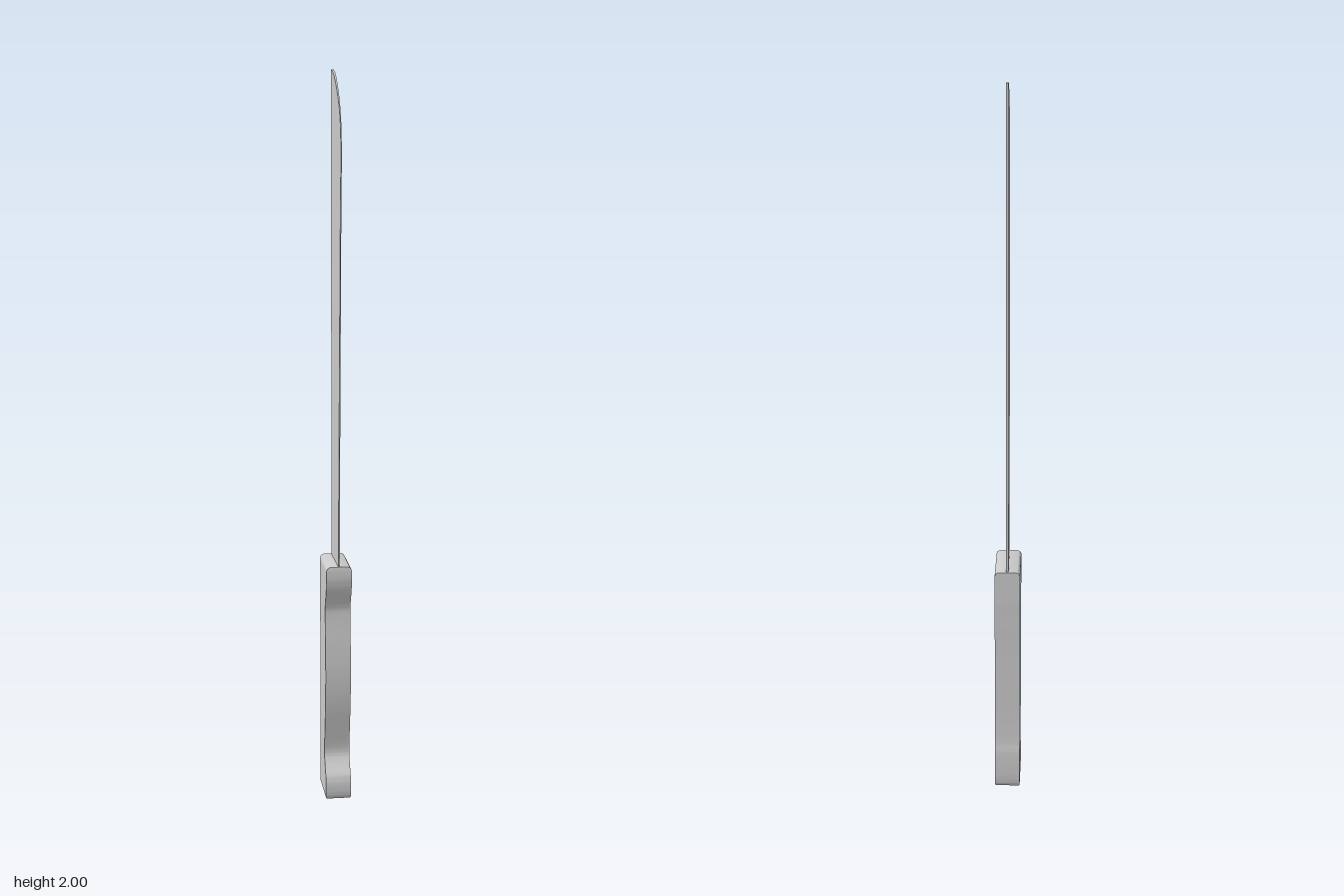
import * as THREE from 'three';
import { toCreasedNormals } from 'three/addons/utils/BufferGeometryUtils.js';

const material = new THREE.MeshStandardMaterial({ color: 0xcccccc });

// Lofts a box upward through rows of [y, back z, front z];
// halfWidth(y, z) gives half the thickness at each point.
function loft(name, rows, perSpan, halfWidth) {
  const curve = new THREE.CatmullRomCurve3(rows.map(([y, back, front]) => new THREE.Vector3(back, y, front)));
  const steps = (rows.length - 1) * perSpan;
  const geometry = new THREE.BoxGeometry(1, 1, 1, 1, steps, 1);
  const pos = geometry.attributes.position;
  const p = new THREE.Vector3();
  for (let i = 0; i < pos.count; i++) {
    curve.getPoint(Math.round((pos.getY(i) + 0.5) * steps) / steps, p);
    const z = pos.getZ(i) < 0 ? p.x : p.z;
    pos.setXYZ(i, Math.sign(pos.getX(i)) * halfWidth(p.y, z), p.y, z);
  }
  const mesh = new THREE.Mesh(toCreasedNormals(geometry, 0.6), material);
  mesh.name = name;
  return mesh;
}

export function createModel() {
  const group = new THREE.Group();
  group.name = 'machete';

  // Handle: finger-shaped front, nearly straight back, rounded ends
  const top = 0.672;
  const round = (d, r) => (d >= r ? 0 : r - Math.sqrt(Math.max(0, r * r - (r - d) ** 2)));
  group.add(loft('handle', [
    [0, -0.09, 0.038], [0.008, -0.094, 0.043], [0.03, -0.097, 0.045], [0.06, -0.098, 0.041],
    [0.09, -0.098, 0.022], [0.115, -0.097, 0.008], [0.135, -0.094, 0.006], [0.2, -0.092, 0.018],
    [0.28, -0.092, 0.033], [0.36, -0.093, 0.038], [0.44, -0.094, 0.034], [0.51, -0.096, 0.027],
    [0.55, -0.097, 0.026], [0.575, -0.098, 0.036], [0.605, -0.098, 0.051], [0.635, -0.098, 0.057],
    [0.655, -0.098, 0.057], [0.667, -0.098, 0.056], [top, -0.098, 0.055],
  ], 4, (y) => 0.035 - round(top - y, 0.013) - round(y + 0.001, 0.006)));

  // Blade: thick spine thinning to the edge, widening up to a curved tip
  group.add(loft('blade', [
    [0.64, -0.091, 0.053], [0.9, -0.092, 0.061], [1.15, -0.093, 0.07], [1.4, -0.094, 0.08],
    [1.6, -0.095, 0.088], [1.69, -0.096, 0.093], [1.75, -0.096, 0.099], [1.8, -0.096, 0.099],
    [1.85, -0.097, 0.091], [1.89, -0.097, 0.074], [1.935, -0.097, 0.035], [1.975, -0.097, -0.02],
    [1.993, -0.097, -0.06], [2, -0.097, -0.092],
  ], 4, (y, z) => THREE.MathUtils.mapLinear(z, -0.098, 0.1, 0.0035, 0.0012)));

  return group;
}
